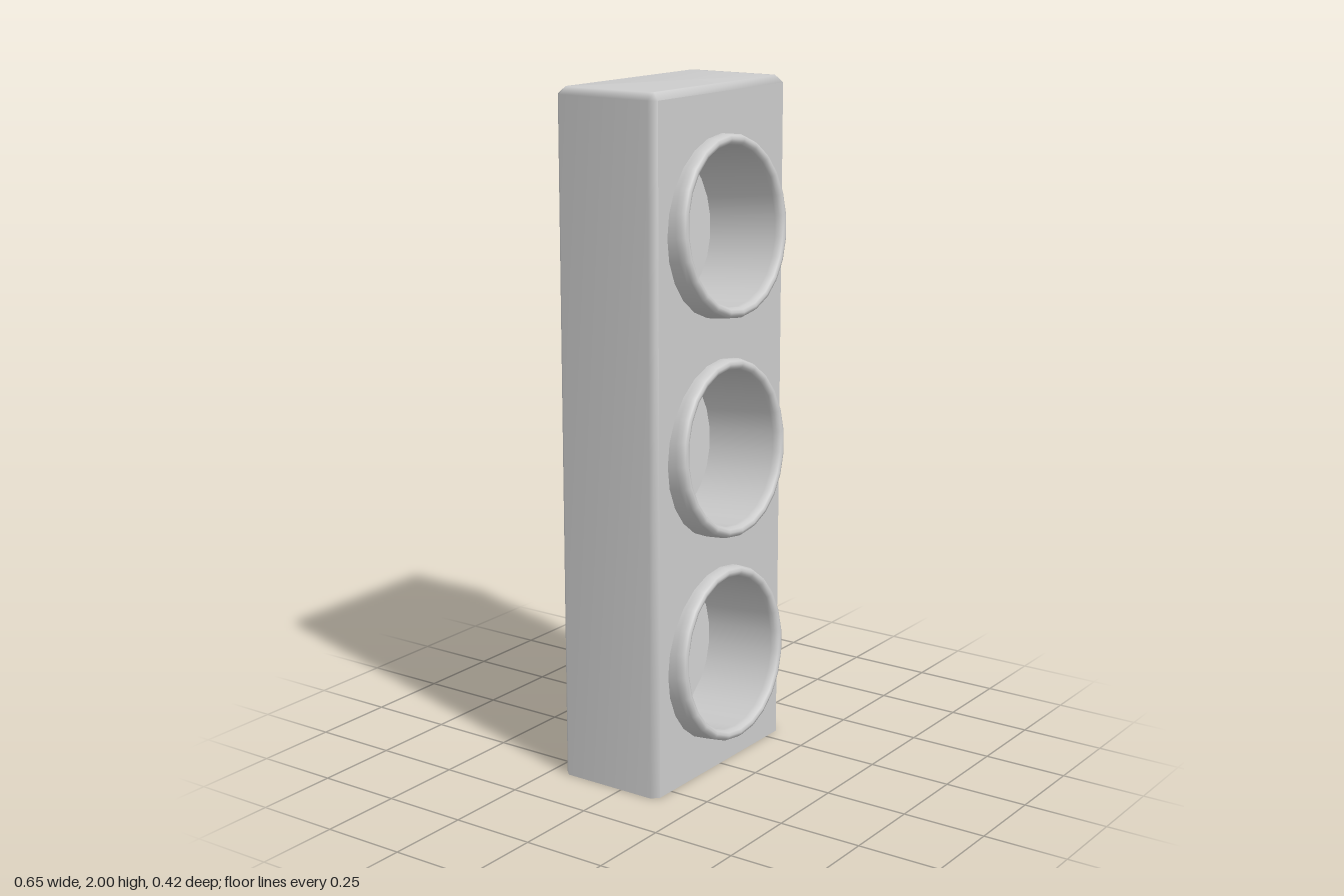
import * as THREE from 'three';

const W = 0.325, BACK = -0.21, FRONT = 0.125, BEVEL = 0.02, HEIGHT = 2;
const TILT = 0.093, CUP_X = -0.007, CUP_YS = [1.613, 0.977, 0.36];

// Chamfered rectangle in plan, counter-clockwise seen from above.
function planLoop(y, inset) {
  const w = W - inset, f = FRONT - inset, b = BACK + inset, c = BEVEL - inset * 0.5;
  return [
    [w - c, y, f], [w, y, f - c], [w, y, b + c], [w - c, y, b],
    [-w + c, y, b], [-w, y, b + c], [-w, y, f - c], [-w + c, y, f],
  ];
}

// Smooth shell: sides, back, bevels and top; open below, front left to the panel.
function shellGeometry() {
  const levels = [planLoop(0, 0), planLoop(HEIGHT - BEVEL, 0), planLoop(HEIGHT, BEVEL)];
  const n = 8, index = [];
  for (let l = 0; l < 2; l++) {
    for (let i = 0; i < n; i++) {
      if (l === 0 && i === n - 1) continue; // front opening
      const a = l * n + i, b = l * n + (i + 1) % n;
      index.push(a, b, b + n, a, b + n, a + n);
    }
  }
  for (let i = 1; i < n - 1; i++) index.push(2 * n, 2 * n + i, 2 * n + i + 1);
  const geo = new THREE.BufferGeometry();
  geo.setAttribute('position', new THREE.Float32BufferAttribute(levels.flat(2), 3));
  geo.setIndex(index);
  geo.computeVertexNormals();
  return geo;
}

// Flat front with a round hole for each cup.
function panelGeometry() {
  const w = W - BEVEL, top = HEIGHT - BEVEL;
  const shape = new THREE.Shape([[-w, 0], [w, 0], [w, top], [-w, top]].map(p => new THREE.Vector2(...p)));
  for (const y of CUP_YS) {
    shape.holes.push(new THREE.Path().absarc(CUP_X, y - 0.006, 0.241, 0, Math.PI * 2, true));
  }
  return new THREE.ShapeGeometry(shape, 24).translate(0, 0, FRONT);
}

export function createModel() {
  const group = new THREE.Group();
  const material = new THREE.MeshStandardMaterial({ color: 0xcccccc, side: THREE.DoubleSide });
  const add = (parent, name, geo) => {
    const mesh = new THREE.Mesh(geo, material);
    mesh.name = name;
    parent.add(mesh);
    return mesh;
  };

  add(group, 'housing', shellGeometry());
  add(group, 'frontPanel', panelGeometry());

  // Cups: outer sleeve, rounded rim and inner wall in one turned profile.
  const depth = 0.25;
  const profile = [
    [0.257, -depth], [0.257, -0.03], [0.256, -0.014], [0.25, -0.003], [0.241, 0],
    [0.232, -0.003], [0.226, -0.012], [0.225, -0.025], [0.225, -depth],
  ].map(p => new THREE.Vector2(...p));
  const sleeve = new THREE.LatheGeometry(profile, 24);
  const floor = new THREE.CircleGeometry(0.257, 24).rotateX(-Math.PI / 2).translate(0, -depth, 0);

  CUP_YS.forEach((y, i) => {
    const cup = new THREE.Group();
    cup.name = `cup${i + 1}`;
    add(cup, 'sleeve', sleeve);
    add(cup, 'floor', floor);
    cup.rotation.x = Math.PI / 2 - TILT;
    cup.position.set(CUP_X, y, 0.183);
    group.add(cup);
  });

  return group;
}
